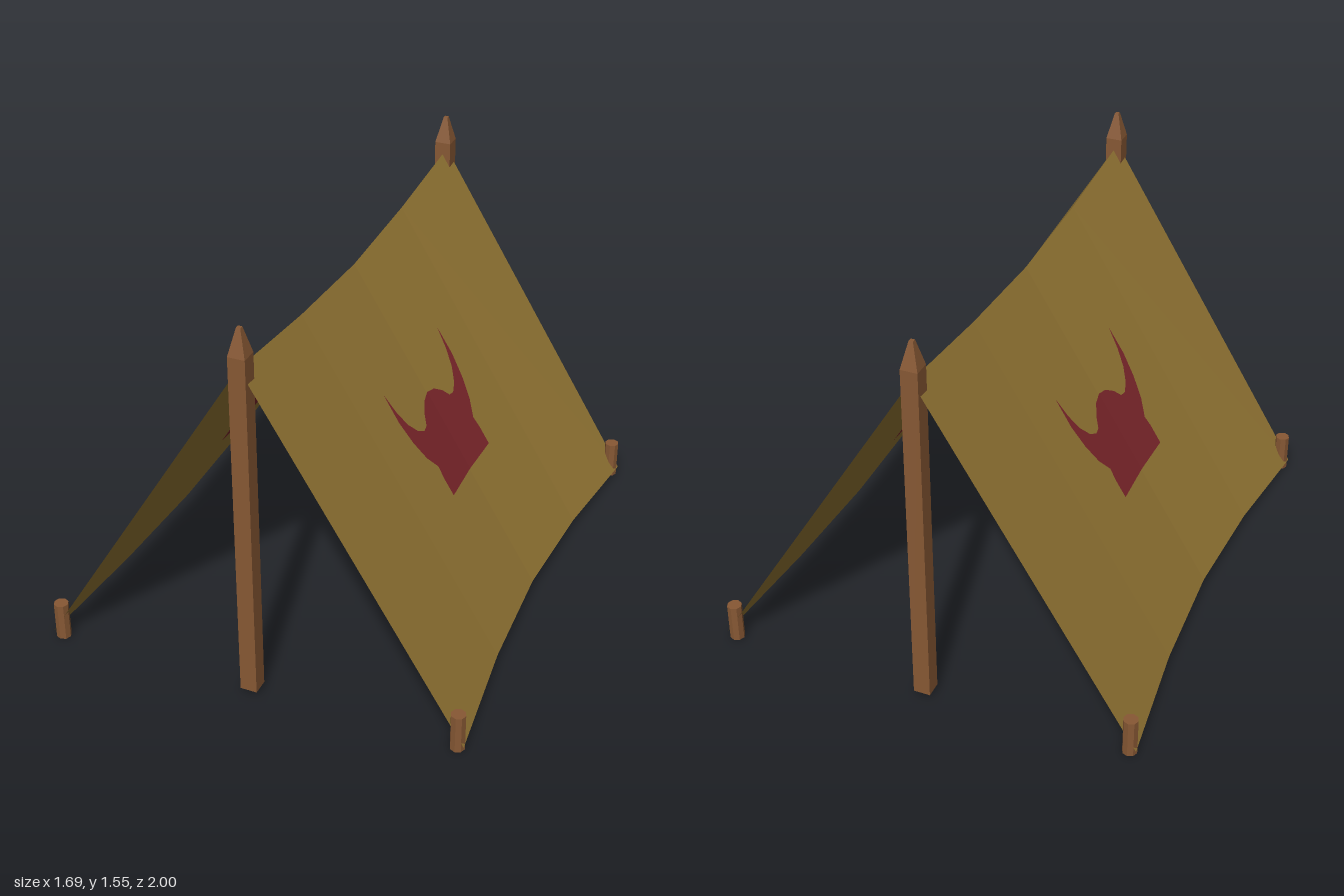
import * as THREE from 'three';

// Canvas edge heights and widths by distance from the middle: [z, ridge y, hem y, hem x]
const STATIONS = [
  [0, 1.325, 0.06, 0.775],
  [0.48, 1.35, 0.05, 0.795],
  [0.985, 1.4, 0.025, 0.845],
];

// Half outline of the painted helmet as [z, y]
const HALF_HELMET = [
  [0, 0.525], [0.2, 0.525], [0.2, 0.595], [0.193, 0.635], [0.235, 0.69],
  [0.265, 0.765], [0.282, 0.85], [0.28, 0.958], [0.262, 0.88], [0.235, 0.82],
  [0.195, 0.775], [0.155, 0.755], [0.125, 0.76], [0.095, 0.792], [0.05, 0.82], [0, 0.83],
];

// Point on the sagging +x panel at a given z and y
function onPanel(z, y) {
  const k = Math.abs(z) / STATIONS[1][0];
  const [ridge, hem, width] = [1, 2, 3].map((i) => THREE.MathUtils.lerp(STATIONS[0][i], STATIONS[1][i], k));
  return new THREE.Vector3((width * (ridge - y)) / (ridge - hem), y, z);
}

// Two sloping panels meeting in a sharp ridge
function canvasGeometry() {
  const rows = [-2, -1, 0, 1, 2].map((i) => {
    const [z, ridge, hem, width] = STATIONS[Math.abs(i)];
    const s = Math.sign(i) * z;
    return [[width, hem, s], [0, ridge, s], [-width, hem, s]];
  });
  const pos = [];
  for (let i = 0; i < rows.length - 1; i++) {
    for (let j = 0; j < 2; j++) {
      const a = rows[i][j], b = rows[i + 1][j], c = rows[i + 1][j + 1], d = rows[i][j + 1];
      pos.push(...a, ...d, ...c, ...a, ...c, ...b);
    }
  }
  const g = new THREE.BufferGeometry();
  g.setAttribute('position', new THREE.Float32BufferAttribute(pos, 3));
  g.computeVertexNormals();
  return g;
}

// Half of the helmet laid on a panel, lifted slightly off the cloth
function helmetGeometry(side, end, lift) {
  const shape = new THREE.Shape(HALF_HELMET.map(([z, y]) => new THREE.Vector2(z * end, y)));
  const g = new THREE.ShapeGeometry(shape);
  const p = g.attributes.position;
  for (let i = 0; i < p.count; i++) {
    const v = onPanel(p.getX(i), p.getY(i));
    p.setXYZ(i, side * (v.x + 0.853 * lift), v.y + 0.522 * lift, v.z);
  }
  g.computeVertexNormals();
  return g;
}

export function createModel() {
  const tent = new THREE.Group();
  tent.name = 'tent';

  const cloth = new THREE.MeshStandardMaterial({ color: 0x947634, side: THREE.DoubleSide, flatShading: true });
  cloth.name = 'ochreCloth';
  const paint = new THREE.MeshStandardMaterial({ color: 0x7c262b, side: THREE.DoubleSide, flatShading: true });
  paint.name = 'darkRedPaint';
  const wood = new THREE.MeshStandardMaterial({ color: 0x875834, flatShading: true });
  wood.name = 'brownWood';

  const add = (name, geometry, material, parent = tent) => {
    const mesh = new THREE.Mesh(geometry, material);
    mesh.name = name;
    parent.add(mesh);
    return mesh;
  };

  add('canvas', canvasGeometry(), cloth);

  // Painted helmets, showing outside and inside on both panels
  for (const side of [1, -1]) {
    const emblem = new THREE.Group();
    emblem.name = side > 0 ? 'leftHelmetEmblem' : 'rightHelmetEmblem';
    tent.add(emblem);
    for (const end of [1, -1]) {
      add('outerPaint', helmetGeometry(side, end, 0.004), paint, emblem);
      add('innerPaint', helmetGeometry(side, end, -0.004), paint, emblem);
    }
  }

  // Square posts with tapered tips, and a peg at each corner
  const half = 0.033;
  for (const end of [1, -1]) {
    const where = end > 0 ? 'front' : 'back';
    const post = new THREE.Group();
    post.name = where + 'Post';
    post.position.z = end * (1 - half);
    tent.add(post);
    add('shaft', new THREE.BoxGeometry(half * 2, 1.425, half * 2), wood, post).position.y = 0.7325;
    const tip = new THREE.CylinderGeometry(0.008 * Math.SQRT2, half * Math.SQRT2, 0.105, 4).rotateY(Math.PI / 4);
    add('tip', tip, wood, post).position.y = 1.4975;

    for (const side of [1, -1]) {
      const peg = add(where + (side > 0 ? 'LeftPeg' : 'RightPeg'), new THREE.CylinderGeometry(0.029, 0.029, 0.155, 8), wood);
      peg.position.set(side * 0.814, 0.0775, end * 0.964);
    }
  }
  return tent;
}
